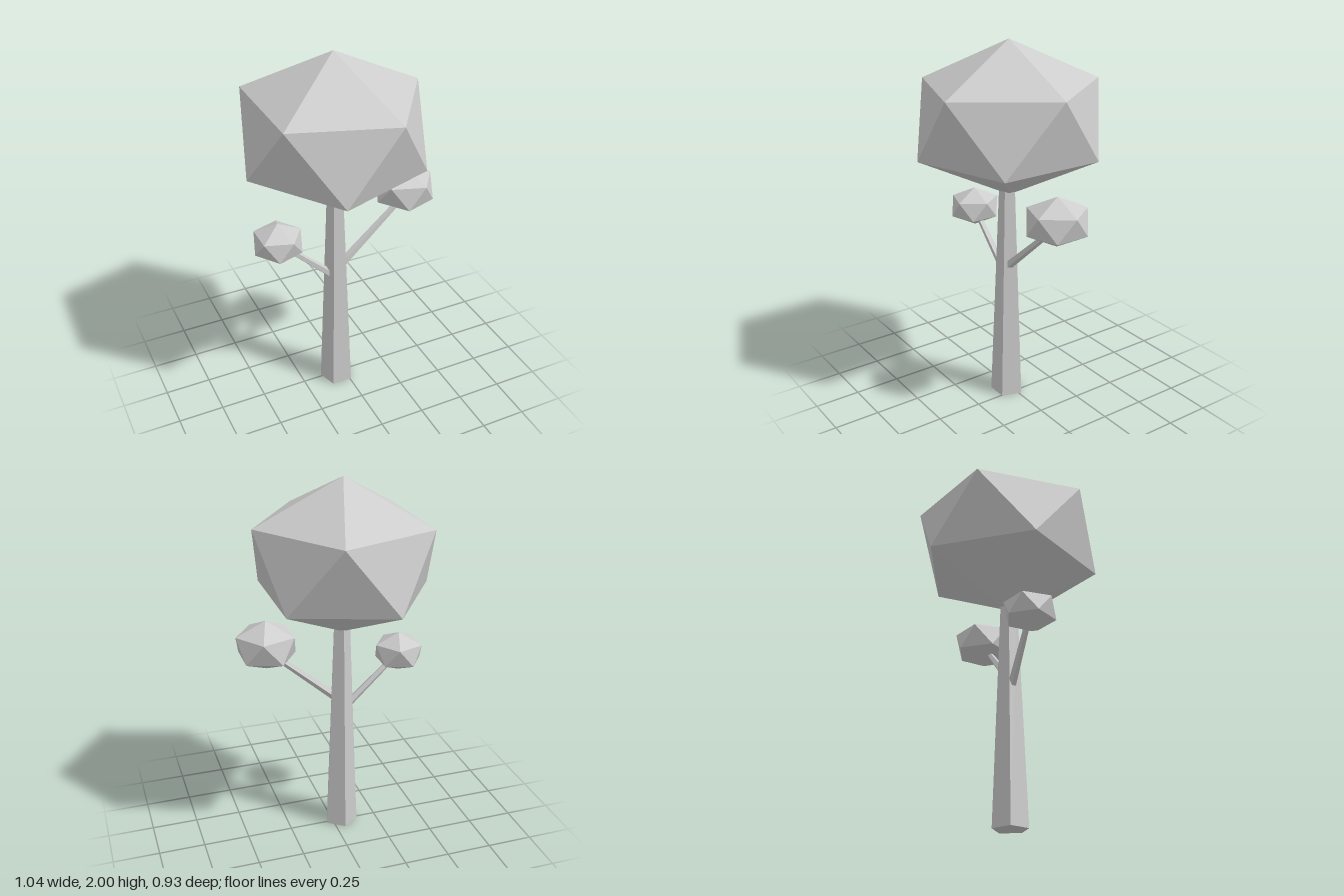
import * as THREE from 'three';

const material = new THREE.MeshStandardMaterial({ color: 0xcccccc, flatShading: true });

function add(group, name, geometry) {
  const mesh = new THREE.Mesh(geometry, material);
  mesh.name = name;
  group.add(mesh);
  return mesh;
}

// Icosahedron standing on a point, with an upper ring corner towards +x
function foliage(group, name, position, radii) {
  const geometry = new THREE.IcosahedronGeometry(1, 0);
  geometry.rotateZ(-Math.atan(2 / (1 + Math.sqrt(5))));
  geometry.scale(...radii);
  add(group, name, geometry).position.set(...position);
}

// Tapered five-sided limb between two points
function limb(group, name, from, to, r0, r1) {
  const a = new THREE.Vector3(...from);
  const b = new THREE.Vector3(...to);
  const geometry = new THREE.CylinderGeometry(r1, r0, a.distanceTo(b), 5);
  geometry.rotateY(Math.PI); // flat side to the front
  const mesh = add(group, name, geometry);
  mesh.position.copy(a).add(b).multiplyScalar(0.5);
  mesh.quaternion.setFromUnitVectors(new THREE.Vector3(0, 1, 0), b.sub(a).normalize());
}

export function createModel() {
  const tree = new THREE.Group();
  tree.name = 'tree';

  // Trunk and branches
  limb(tree, 'trunk', [-0.05, 0, 0.017], [-0.05, 1.22, 0.012], 0.0946, 0.046);
  limb(tree, 'leftBranch', [-0.04, 0.775, 0.027], [0.33, 1.097, 0.018], 0.025, 0.016);
  limb(tree, 'rightBranch', [-0.06, 0.712, 0.015], [-0.35, 0.982, 0.013], 0.023, 0.015);

  // Crown and the clumps at the branch ends
  foliage(tree, 'crown', [-0.053, 1.592, 0], [0.524, 0.41, 0.546]);
  foliage(tree, 'leftClump', [0.362, 1.16, 0], [0.176, 0.133, 0.18]);
  foliage(tree, 'rightClump', [-0.378, 1.02, 0.012], [0.143, 0.109, 0.147]);

  return tree;
}
